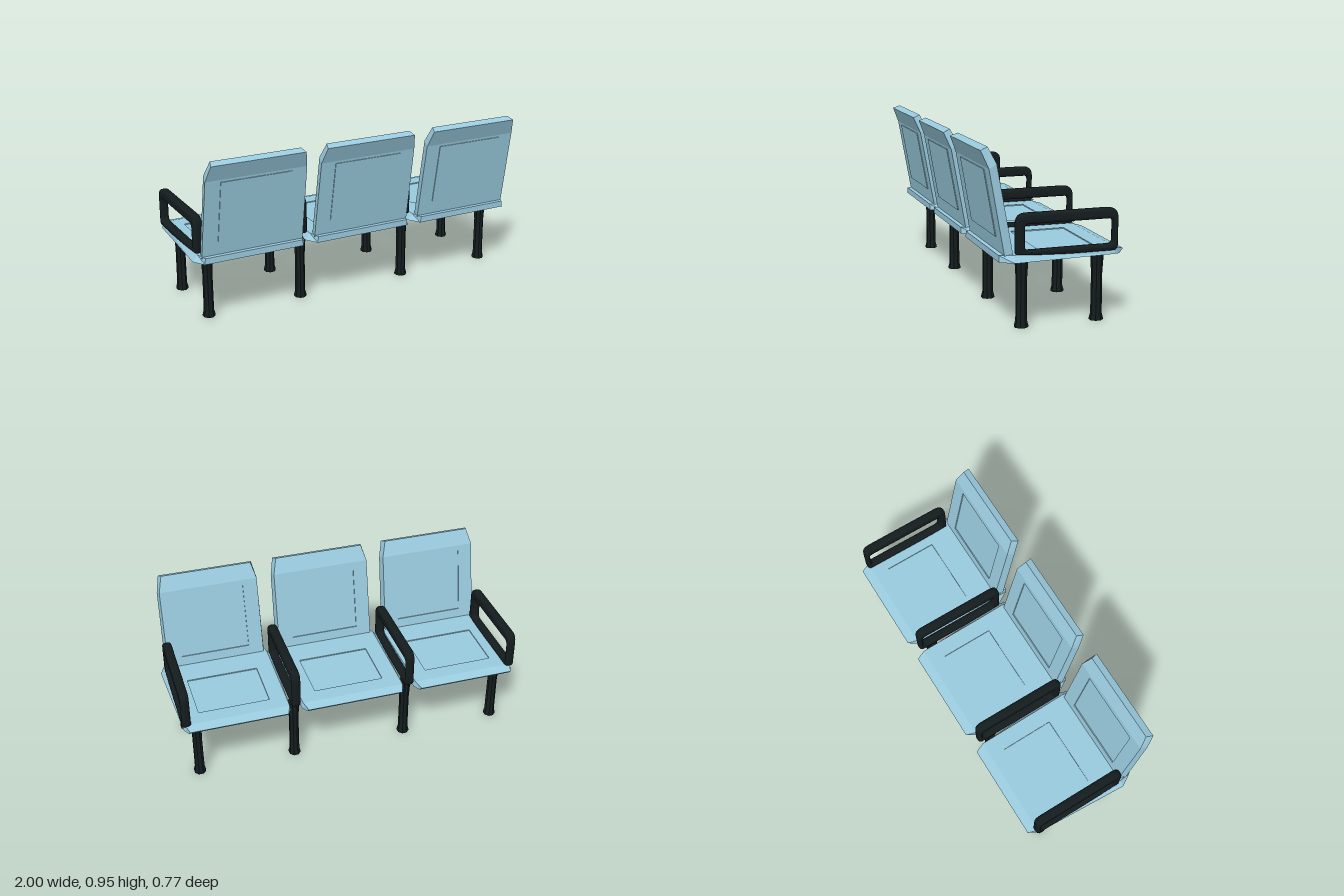
import * as THREE from 'three';
import { toCreasedNormals } from 'three/addons/utils/BufferGeometryUtils.js';

const shellMat = new THREE.MeshStandardMaterial({ color: 0x9acbdf });
const frameMat = new THREE.MeshStandardMaterial({ color: 0x141c1e });

function addMesh(parent, name, geometry, material) {
  const mesh = new THREE.Mesh(geometry, material);
  mesh.name = name;
  parent.add(mesh);
  return mesh;
}

// Lofts rings of four corners into a flat-faced solid. An inset panel
// (keyed "section-edge") is recessed by depth, or raised if depth is negative.
function loft(rings, panels) {
  const pos = [];
  const quad = (a, b, c, d) => [a, b, c, a, c, d].forEach((p) => pos.push(p.x, p.y, p.z));
  const panelQuad = (q, { u, v, depth }) => {
    const at = (s, t) => q[0].clone().lerp(q[1], s).lerp(q[3].clone().lerp(q[2], s), t);
    const rim = [at(u, v[0]), at(1 - u, v[0]), at(1 - u, v[1]), at(u, v[1])];
    const normal = q[1].clone().sub(q[0]).cross(q[3].clone().sub(q[0])).normalize();
    const floor = rim.map((p) => p.clone().addScaledVector(normal, -depth));
    for (let i = 0; i < 4; i++) {
      const j = (i + 1) % 4;
      quad(q[i], q[j], rim[j], rim[i]);
      quad(rim[i], rim[j], floor[j], floor[i]);
    }
    quad(...floor);
  };
  for (let s = 0; s < rings.length - 1; s++) {
    for (let e = 0; e < 4; e++) {
      const f = (e + 1) % 4;
      const q = [rings[s][e], rings[s][f], rings[s + 1][f], rings[s + 1][e]];
      const panel = panels[`${s}-${e}`];
      if (panel) panelQuad(q, panel);
      else quad(...q);
    }
  }
  quad(...[...rings[0]].reverse());
  quad(...rings[rings.length - 1]);
  const g = new THREE.BufferGeometry();
  g.setAttribute('position', new THREE.Float32BufferAttribute(pos, 3));
  g.computeVertexNormals();
  return g;
}

const V = (x, y, z) => new THREE.Vector3(x, y, z);

// Seat pan: sections run from the front lip to the back edge
function seatGeometry() {
  // bottom [halfWidth, y, z], top [halfWidth, y, z]
  const sections = [
    [[0.28, 0.361, -0.36], [0.275, 0.385, -0.383]],
    [[0.303, 0.365, -0.325], [0.295, 0.4, -0.33]],
    [[0.332, 0.365, 0.225], [0.302, 0.4, 0.22]],
    [[0.29, 0.365, 0.295], [0.285, 0.4, 0.295]],
  ];
  const rings = sections.map(([[bw, by, bz], [tw, ty, tz]]) =>
    [V(-bw, by, bz), V(bw, by, bz), V(tw, ty, tz), V(-tw, ty, tz)]);
  return loft(rings, {
    '1-2': { u: 0.16, v: [0.16, 0.72], depth: 0.006 },
    '1-0': { u: 0.18, v: [0.1, 0.7], depth: -0.003 },
  });
}

// Backrest: sections run upward, bending backward near the top
function backrestGeometry() {
  // rear [halfWidth, y, z], front [halfWidth, y, z]
  const sections = [
    [[0.296, 0.39, 0.268], [0.285, 0.398, 0.22]],
    [[0.291, 0.84, 0.348], [0.282, 0.862, 0.305]],
    [[0.27, 0.93, 0.385], [0.258, 0.946, 0.345]],
  ];
  const rings = sections.map(([[rw, ry, rz], [fw, fy, fz]]) =>
    [V(-rw, ry, rz), V(rw, ry, rz), V(fw, fy, fz), V(-fw, fy, fz)]);
  return loft(rings, {
    '0-0': { u: 0.15, v: [0.2, 0.97], depth: -0.004 },
    '0-2': { u: 0.15, v: [0.12, 0.93], depth: 0.006 },
  });
}

// Rounded polygon through corners [x, y, radius]
function roundedPath(path, corners) {
  const n = corners.length;
  corners.forEach(([x, y, r], i) => {
    const toward = (c) => {
      const l = Math.hypot(c[0] - x, c[1] - y);
      return [x + ((c[0] - x) / l) * r, y + ((c[1] - y) / l) * r];
    };
    const a = toward(corners[(i + n - 1) % n]);
    const b = toward(corners[(i + 1) % n]);
    if (i === 0) path.moveTo(...a);
    else path.lineTo(...a);
    path.quadraticCurveTo(x, y, ...b);
  });
  path.closePath();
  return path;
}

// Armrest: a closed loop, drawn in the z-y plane
function armGeometry() {
  const shape = roundedPath(new THREE.Shape(), [
    [0.21, 0.398, 0.012], [0.21, 0.609, 0.055], [-0.344, 0.609, 0.055],
    [-0.344, 0.383, 0.03], [-0.08, 0.383, 0.05], [0.1, 0.39, 0.05],
  ]);
  shape.holes.push(roundedPath(new THREE.Path(), [
    [0.162, 0.419, 0.022], [-0.315, 0.419, 0.022], [-0.315, 0.552, 0.022], [0.162, 0.552, 0.022],
  ]));
  const g = new THREE.ExtrudeGeometry(shape, {
    depth: 0.01, bevelThickness: 0.02, bevelSize: 0.013, bevelOffset: -0.013,
    bevelSegments: 4, curveSegments: 6,
  });
  g.translate(0, 0, -0.005).rotateY(-Math.PI / 2);
  return toCreasedNormals(g, 0.7);
}

// Leg: eight-sided, splayed at the head and foot
function legGeometry() {
  const profile = [[0, 0], [0.036, 0], [0.036, 0.008], [0.029, 0.035], [0.028, 0.25], [0.034, 0.355], [0.034, 0.37], [0, 0.37]];
  const g = new THREE.LatheGeometry(profile.map(([r, y]) => new THREE.Vector2(r, y)), 8);
  g.rotateY(Math.PI / 8).scale(0.97, 1, 1.05);
  return toCreasedNormals(g, 0.5);
}

export function createModel() {
  const bench = new THREE.Group();
  bench.name = 'threeSeatBench';

  // Three identical seats
  const seatGeo = seatGeometry();
  const backGeo = backrestGeometry();
  for (const x of [-0.668, 0, 0.668]) {
    const seat = new THREE.Group();
    seat.name = 'seat';
    seat.position.x = x;
    addMesh(seat, 'seatPan', seatGeo, shellMat);
    addMesh(seat, 'backrest', backGeo, shellMat);
    bench.add(seat);
  }

  // Armrests and leg pairs, mirrored left and right
  const armGeo = armGeometry();
  const legGeo = legGeometry();
  for (const side of [-1, 1]) {
    for (const x of [0.334, 0.954]) {
      addMesh(bench, 'armrest', armGeo, frameMat).position.x = side * x;
    }
    for (const x of [0.334, 0.893]) {
      addMesh(bench, 'rearLeg', legGeo, frameMat).position.set(side * x, 0, 0.155);
      addMesh(bench, 'frontLeg', legGeo, frameMat).position.set(side * x, 0, -0.26);
    }
  }
  return bench;
}
